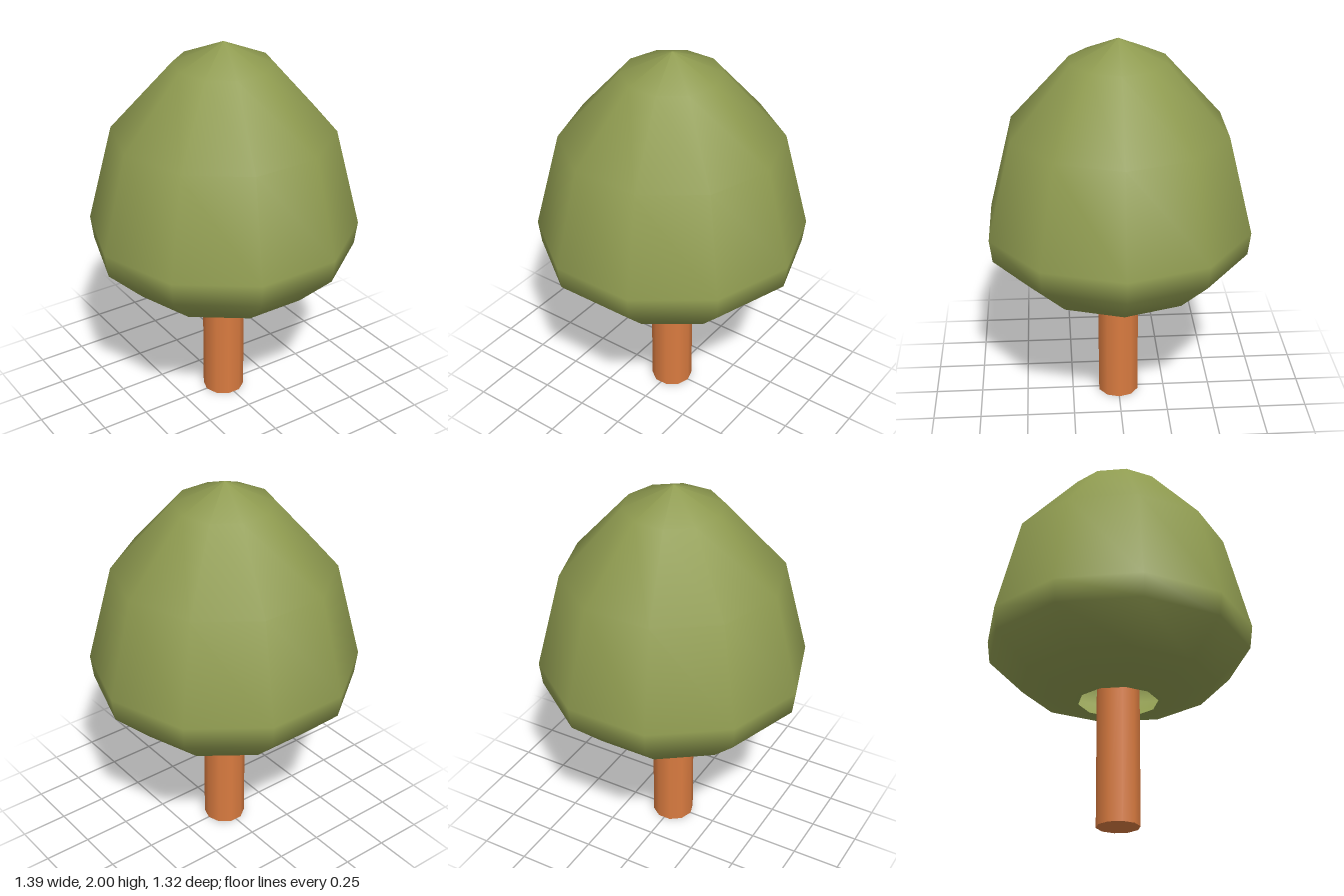
import * as THREE from 'three';

const SIDES = 10;

// Ten-sided turned part with corners on the x axis; profile runs bottom to top
function turned(name, profile, material) {
  const points = profile.map(([r, y]) => new THREE.Vector2(r, y));
  const mesh = new THREE.Mesh(new THREE.LatheGeometry(points, SIDES, Math.PI / 2), material);
  mesh.name = name;
  return mesh;
}

export function createModel() {
  const leafGreen = new THREE.MeshStandardMaterial({ color: 0x8f9b50, side: THREE.DoubleSide });
  leafGreen.name = 'leafGreen';
  const barkBrown = new THREE.MeshStandardMaterial({ color: 0xd97b40 });
  barkBrown.name = 'barkBrown';

  const tree = new THREE.Group();
  tree.name = 'tree';

  // Crown: rounded shell, open underneath around the trunk
  tree.add(turned('crown', [
    [0.205, 0.65], [0.495, 0.73], [0.68, 0.91], [0.695, 1.03],
    [0.565, 1.54], [0.25, 1.89], [0, 2],
  ], leafGreen));

  // Trunk: straight post reaching up inside the crown
  const trunk = new THREE.Mesh(new THREE.CylinderGeometry(0.11, 0.11, 0.85, SIDES), barkBrown);
  trunk.name = 'trunk';
  trunk.rotation.y = Math.PI / 2;
  trunk.position.y = 0.425;
  tree.add(trunk);

  return tree;
}
